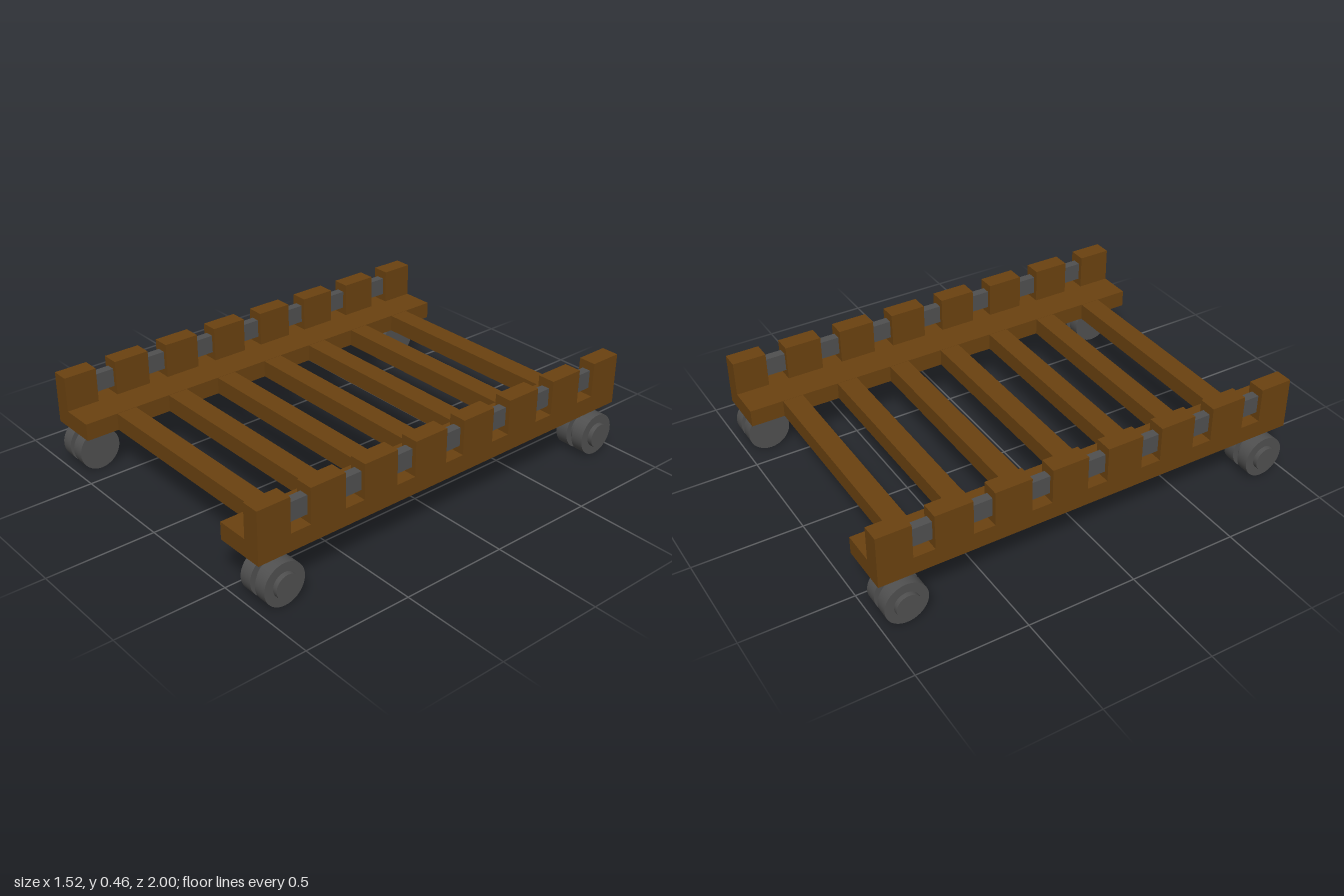
import * as THREE from 'three';

const wood = new THREE.MeshStandardMaterial({ color: 0x6b4210 });
const metal = new THREE.MeshStandardMaterial({ color: 0x505050 });

function box(parent, name, mat, [x0, x1], [y0, y1], [z0, z1]) {
  const mesh = new THREE.Mesh(new THREE.BoxGeometry(x1 - x0, y1 - y0, z1 - z0), mat);
  mesh.position.set((x0 + x1) / 2, (y0 + y1) / 2, (z0 + z1) / 2);
  mesh.name = name;
  parent.add(mesh);
}

// Cylinder lying along x between x0 and x1
function disc(parent, name, r, x0, x1) {
  const geo = new THREE.CylinderGeometry(r, r, x1 - x0, 40).rotateZ(Math.PI / 2);
  const mesh = new THREE.Mesh(geo, metal);
  mesh.position.x = (x0 + x1) / 2;
  mesh.name = name;
  parent.add(mesh);
}

// Twin-wheel caster; s is the side of the frame it sits on
function caster(s, z) {
  const g = new THREE.Group();
  g.name = 'caster';
  const span = (a, b) => (s > 0 ? [a, b] : [-b, -a]);
  disc(g, 'innerWheel', 0.097, ...span(0.59, 0.65));
  disc(g, 'axleHub', 0.068, ...span(0.645, 0.685));
  disc(g, 'outerWheel', 0.097, ...span(0.68, 0.738));
  disc(g, 'hubCap', 0.056, ...span(0.735, 0.76));
  // Tapered bracket between the wheels
  const shape = new THREE.Shape();
  shape.moveTo(-0.025, 0.05);
  shape.lineTo(0.025, 0.05);
  shape.lineTo(0.042, 0.123);
  shape.lineTo(-0.042, 0.123);
  const geo = new THREE.ExtrudeGeometry(shape, { depth: 0.03, bevelEnabled: false });
  geo.translate(0, 0, -0.015).rotateY(Math.PI / 2);
  const bracket = new THREE.Mesh(geo, metal);
  bracket.position.x = s * 0.665;
  bracket.name = 'bracket';
  g.add(bracket);
  g.position.set(0, 0.098, z);
  return g;
}

export function createModel() {
  const model = new THREE.Group();
  model.name = 'wheeledRack';
  const pitch = 0.266, half = 0.048;
  const gaps = [-3, -2, -1, 0, 1, 2, 3].map((i) => i * pitch);

  // Cross slats
  for (const z of gaps) {
    box(model, 'slat', wood, [-0.49, 0.49], [0.22, 0.299], [z - half, z + half]);
  }

  for (const s of [-1, 1]) {
    const side = new THREE.Group();
    side.name = s > 0 ? 'leftSide' : 'rightSide';
    const span = (a, b) => (s > 0 ? [a, b] : [-b, -a]);
    box(side, 'sideBoard', wood, span(0.49, 0.725), [0.22, 0.3], [-1, 1]);

    // Upright blocks separated by the gaps
    for (let i = 0; i <= gaps.length; i++) {
      const z0 = i === 0 ? -1 : gaps[i - 1] + half;
      const z1 = i === gaps.length ? 1 : gaps[i] - half;
      box(side, 'post', wood, span(0.643, 0.725), [0.3, 0.46], [z0, z1]);
    }
    // Metal links bridging the gaps
    for (const z of gaps) {
      box(side, 'link', metal, span(0.663, 0.704), [0.335, 0.42], [z - half, z + half]);
    }
    for (const z of [-0.89, 0.89]) side.add(caster(s, z));
    model.add(side);
  }
  return model;
}
